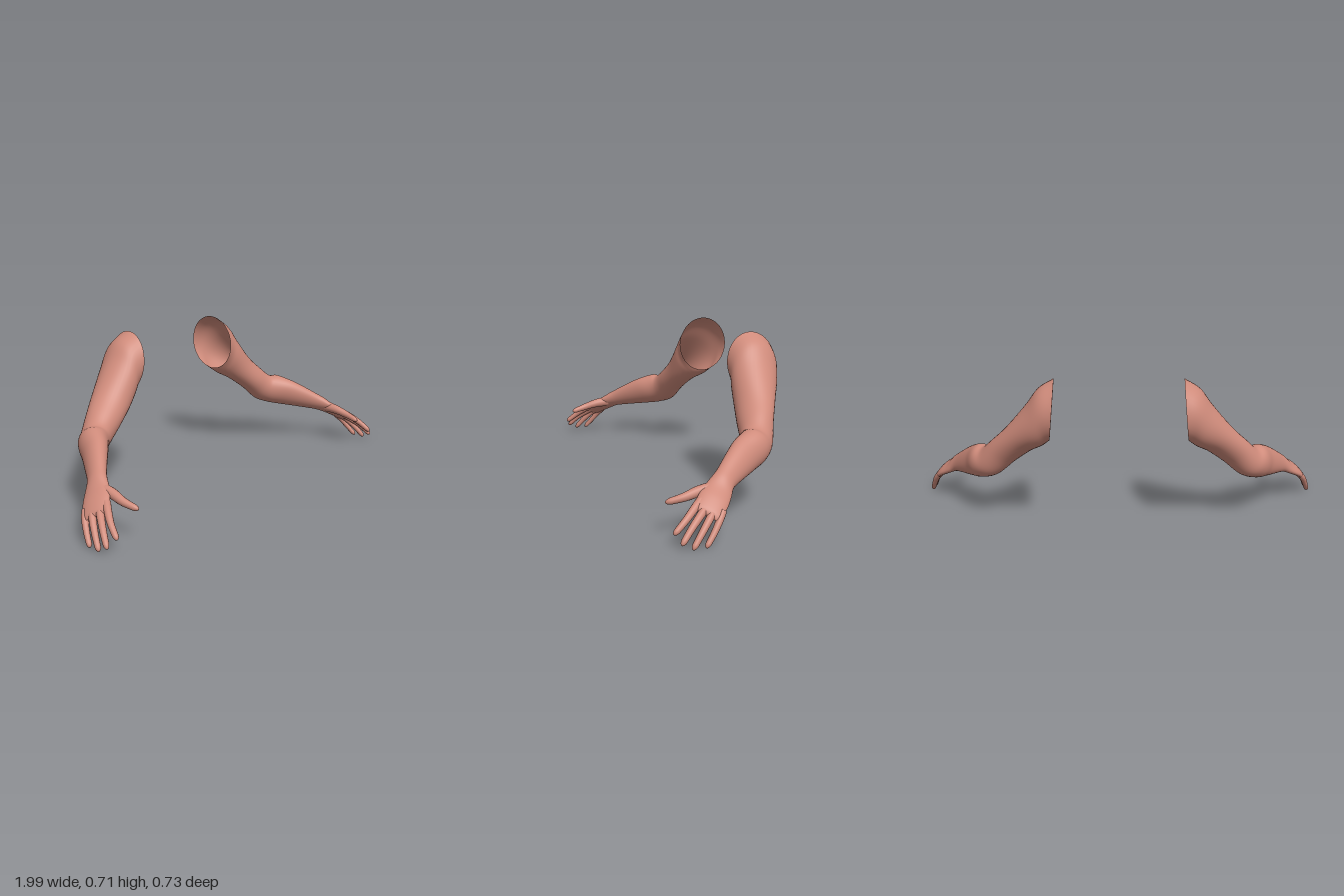
import * as THREE from 'three';

const V = (a) => new THREE.Vector3(...a);

// Closed-loop skin through elliptical rings; ring(t) gives centre c and half axes p, q.
function loft(ring, steps, sides, mirror) {
  const pos = [], idx = [];
  for (let i = 0; i <= steps; i++) {
    const { c, p, q } = ring(i / steps);
    for (let j = 0; j < sides; j++) {
      const a = (j / sides) * Math.PI * 2;
      const v = c.clone().addScaledVector(p, Math.cos(a)).addScaledVector(q, Math.sin(a));
      pos.push(v.x * mirror, v.y, v.z);
      if (i === steps) continue;
      const A = i * sides + j, B = i * sides + ((j + 1) % sides);
      const C = A + sides, D = B + sides;
      if (mirror > 0) idx.push(A, C, B, B, C, D);
      else idx.push(A, B, C, B, D, C);
    }
  }
  const g = new THREE.BufferGeometry();
  g.setAttribute('position', new THREE.Float32BufferAttribute(pos, 3));
  g.setIndex(idx);
  g.computeVertexNormals();
  return g;
}

// Arm from the open shoulder to the knuckles: centre, upper half axis, rear half axis
const ARM = [
  [[.305, .58, -.245], [-.012, .14, .005], [-.008, 0, -.123]],
  [[.348, .55, -.238], [.018, .125, 0], [0, 0, -.115]],
  [[.39, .5, -.222], [.035, .095, .01], [.015, 0, -.106]],
  [[.465, .425, -.19], [.055, .055, .01], [.03, 0, -.085]],
  [[.54, .36, -.16], [.049, .052, .01], [.03, 0, -.073]],
  [[.605, .302, -.135], [.034, .062, .018], [.04, -.01, -.06]],
  [[.655, .287, -.1], [.012, .076, .02], [.05, 0, -.046]],
  [[.7, .268, -.04], [.01, .07, .02], [.044, -.01, -.037]],
  [[.745, .246, .015], [.01, .058, .018], [.036, -.012, -.034]],
  [[.79, .222, .07], [.01, .044, .012], [.03, -.015, -.03]],
  [[.82, .205, .105], [.016, .031, .002], [.025, -.023, -.034]],
  [[.848, .183, .135], [.016, .021, 0], [.028, -.025, -.042]],
  [[.885, .158, .172], [.015, .018, 0], [.03, -.025, -.048]],
  [[.915, .132, .205], [.012, .014, 0], [.03, -.024, -.046]],
  [[.927, .121, .218], [.006, .008, 0], [.027, -.022, -.041]],
  [[.93, .118, .221], [0, 0, 0], [.022, -.018, -.033]],
];

// Digits: path points and the radius at base and tip
const DIGITS = {
  thumb: { path: [[.836, .19, .14], [.832, .183, .21], [.834, .166, .275], [.82, .148, .348]], r: [.028, .012] },
  indexFinger: { path: [[.876, .161, .222], [.897, .143, .252], [.926, .108, .3], [.946, .063, .356]], r: [.018, .012] },
  middleFinger: { path: [[.893, .147, .2], [.919, .126, .232], [.956, .083, .288], [.983, .032, .338]], r: [.018, .012] },
  ringFinger: { path: [[.912, .135, .177], [.936, .112, .204], [.966, .063, .251], [.988, .011, .295]], r: [.017, .012] },
  littleFinger: { path: [[.925, .125, .15], [.946, .1, .17], [.968, .055, .204], [.986, .011, .241]], r: [.016, .011] },
};

function armRing() {
  const [c, p, q] = [0, 1, 2].map((k) =>
    new THREE.CatmullRomCurve3(ARM.map((s) => V(s[k])), false, 'catmullrom', 0.5));
  return (t) => ({ c: c.getPoint(t), p: p.getPoint(t), q: q.getPoint(t) });
}

function digitRing({ path, r }) {
  const curve = new THREE.CatmullRomCurve3(path.map(V));
  const across = V([.5, -.41, -.77]);
  return (t) => {
    const u = 1 - (1 - t) ** 1.6; // rings crowd toward the rounded tip
    const dir = curve.getTangentAt(u);
    const q = across.clone().addScaledVector(dir, -across.dot(dir)).normalize();
    const p = dir.clone().cross(q);
    const k = Math.max(0, (u - .88) / .12);
    const rad = THREE.MathUtils.lerp(r[0], r[1], u) * Math.sqrt(Math.max(0, 1 - k * k));
    return { c: curve.getPointAt(u), p: p.multiplyScalar(rad), q: q.multiplyScalar(rad) };
  };
}

export function createModel() {
  const skin = new THREE.MeshStandardMaterial({ color: 0xcf8b7b, side: THREE.DoubleSide });
  skin.name = 'skin';
  const model = new THREE.Group();
  model.name = 'armPair';

  for (const [side, mirror] of [['left', 1], ['right', -1]]) {
    const arm = new THREE.Group();
    arm.name = side + 'Arm';
    const add = (name, geometry) => {
      const mesh = new THREE.Mesh(geometry, skin);
      mesh.name = name;
      arm.add(mesh);
    };
    // Sleeve-like limb with palm
    add('armAndPalm', loft(armRing(), 90, 36, mirror));
    // Thumb and fingers
    for (const [name, digit] of Object.entries(DIGITS)) {
      add(name, loft(digitRing(digit), 24, 16, mirror));
    }
    model.add(arm);
  }
  return model;
}
